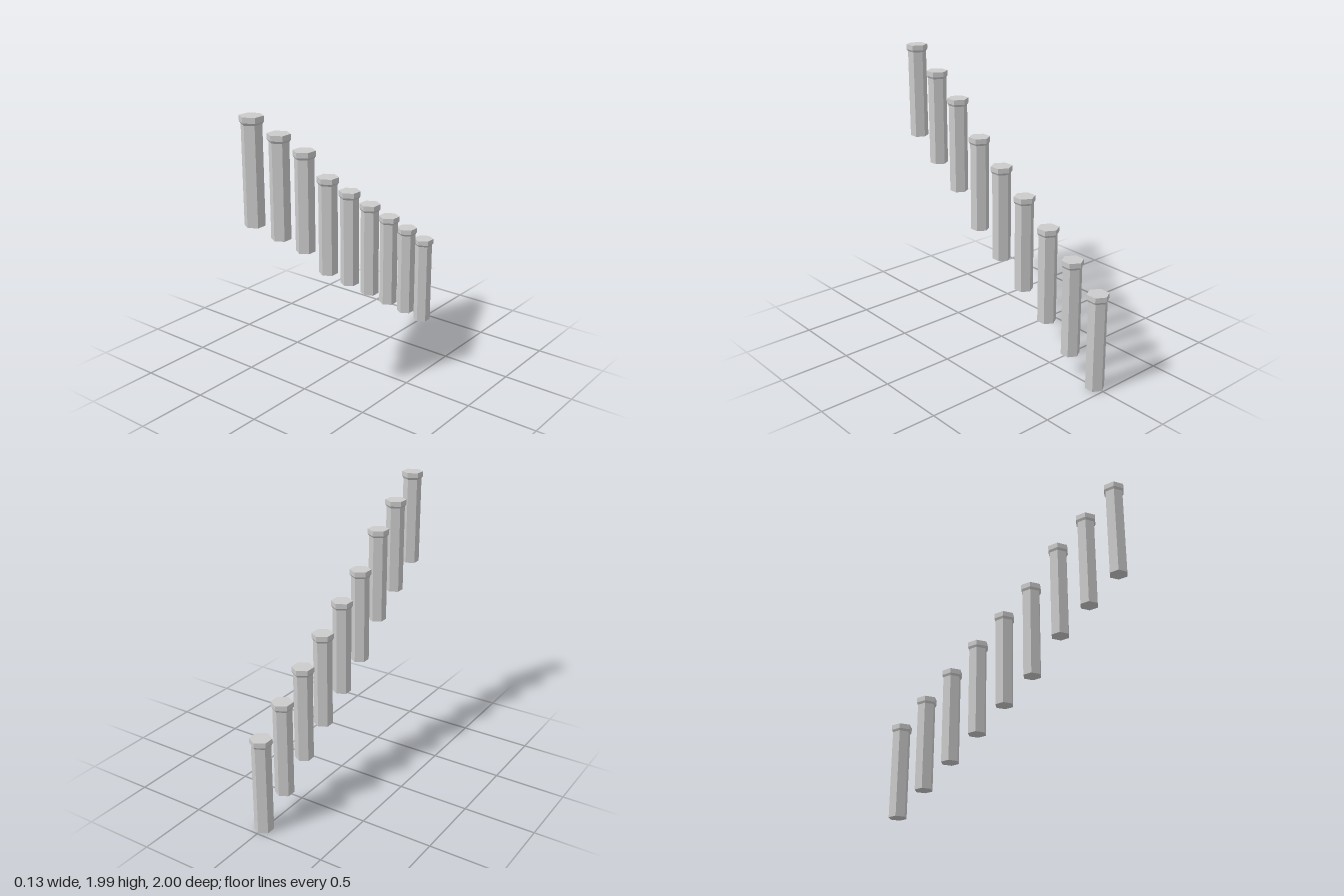
import * as THREE from 'three';

export function createModel() {
  const group = new THREE.Group();
  group.name = 'steppedColumns';
  const material = new THREE.MeshStandardMaterial({ color: 0xcccccc, flatShading: true });

  // Hexagonal column with a flared cap: closed profile from bottom to top
  const height = 0.677;
  const profile = [
    [0, 0], [0.065, 0], [0.065, height - 0.05],
    [0.075, height - 0.035], [0.075, height], [0, height],
  ].map(([r, y]) => new THREE.Vector2(r, y));
  const columnGeometry = new THREE.LatheGeometry(profile, 6);

  // Base heights from front to back, with one larger drop after the third column
  const bases = [1.313, 1.158, 1.003, 0.774, 0.62, 0.466, 0.311, 0.157, 0];
  const spacing = 0.2312;
  bases.forEach((y, i) => {
    const column = new THREE.Mesh(columnGeometry, material);
    column.name = `hexColumn${i + 1}`;
    column.position.set(0, y, (4 - i) * spacing);
    group.add(column);
  });

  return group;
}
